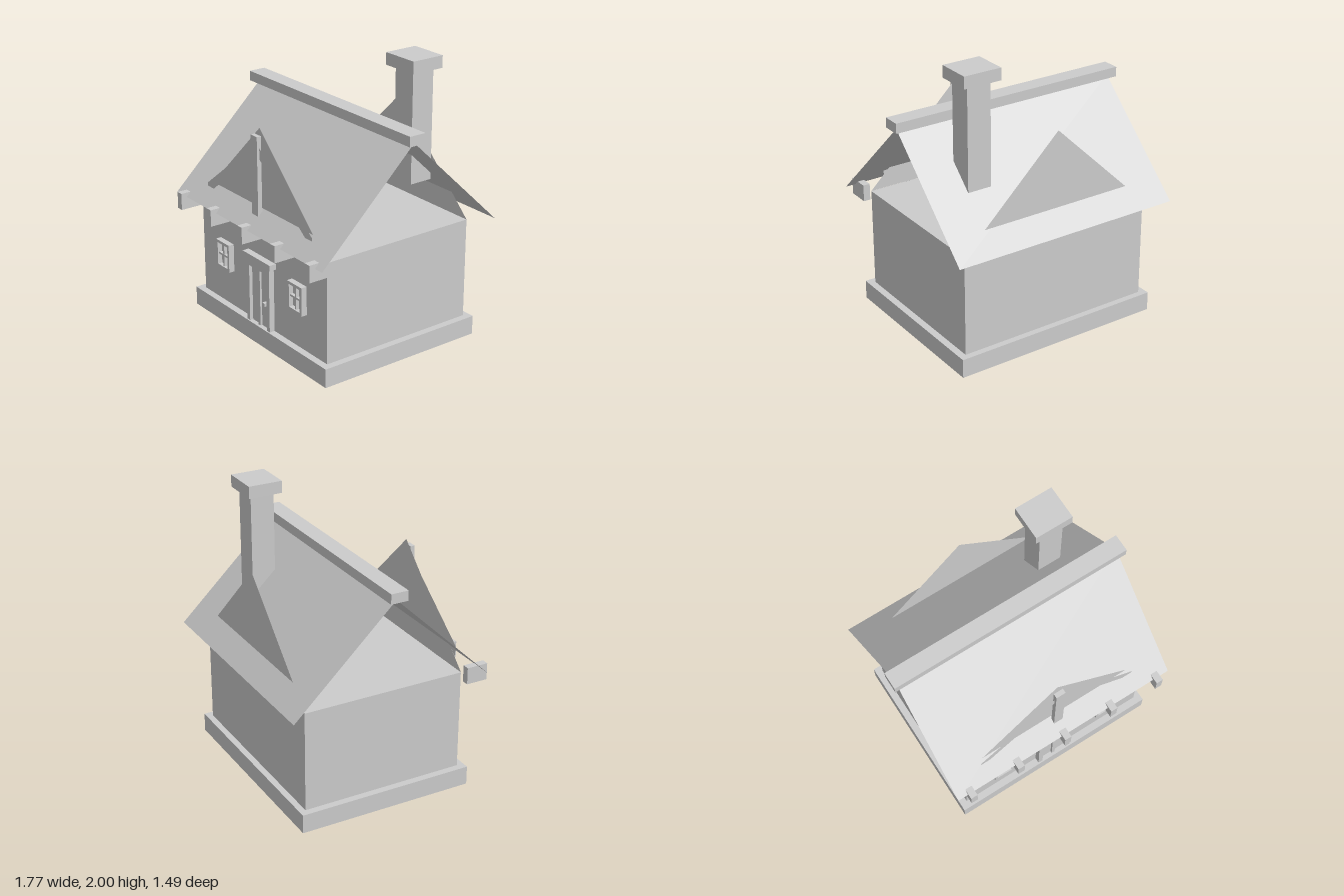
import * as THREE from 'three';

export function createModel() {
  const model = new THREE.Group();
  model.name = 'cottage';
  const grey = new THREE.MeshStandardMaterial({ color: 0xcccccc, side: THREE.DoubleSide });
  grey.name = 'stone grey';

  const add = (name, geometry, parent = model) => {
    const mesh = new THREE.Mesh(geometry, grey);
    mesh.name = name;
    parent.add(mesh);
    return mesh;
  };
  // Box given by its extents along each axis
  const box = (name, x0, x1, y0, y1, z0, z1, parent) =>
    add(name, new THREE.BoxGeometry(x1 - x0, y1 - y0, z1 - z0), parent)
      .position.set((x0 + x1) / 2, (y0 + y1) / 2, (z0 + z1) / 2);
  // Flat outline standing upright at depth z
  const plate = (name, points, z, parent) => {
    const shape = new THREE.Shape(points.map(([x, y]) => new THREE.Vector2(x, y)));
    add(name, new THREE.ShapeGeometry(shape), parent).position.z = z;
  };
  const group = (name) => {
    const g = new THREE.Group();
    g.name = name;
    model.add(g);
    return g;
  };

  // Base and walls
  box('plinth', -0.775, 0.775, 0, 0.135, -0.65, 0.62);
  box('walls', -0.725, 0.725, 0.135, 0.852, -0.605, 0.57);

  // Thin roof slopes, open at the sides
  const slope = (name, z, ridgeZ) => {
    const ridge = 1.56, eave = 0.868, w = 0.85;
    const front = z > ridgeZ ? 1 : -1;
    const g = new THREE.BufferGeometry();
    g.setAttribute('position', new THREE.Float32BufferAttribute([
      -w * front, eave, z, w * front, eave, z, w * front, ridge, ridgeZ, -w * front, ridge, ridgeZ], 3));
    g.setIndex([0, 1, 2, 0, 2, 3]);
    g.computeVertexNormals();
    add(name, g);
  };
  slope('frontRoof', 0.703, -0.02);
  slope('backRoof', -0.746, -0.02);
  box('ridgeBeam', -0.885, 0.885, 1.555, 1.625, -0.08, 0.045);

  // Gables breaking through the slopes
  plate('frontGable', [[-0.725, 0.852], [0.725, 0.852], [0, 1.55]], 0.571);
  plate('backGable', [[0.725, 0.852], [-0.725, 0.852], [0, 1.55]], -0.605);

  // Timber truss on the front gable
  const truss = group('truss');
  box('kingPost', -0.035, 0.035, 0.87, 1.505, 0.585, 0.618, truss);
  plate('tieBeam', [[-0.6, 0.853], [0.6, 0.853], [0.6, 0.91], [-0.6, 0.91]], 0.6, truss);
  for (const s of [-1, 1]) {
    const points = [[0.605, 0.91], [0.605, 0.99], [0, 1.452], [0, 1.375]].map(([x, y]) => [s * x, y]);
    plate('rafter', points, 0.6, truss);
  }

  // Eave brackets
  for (let i = -2; i <= 2; i++) {
    const x = i * 0.375;
    box('eaveBracket', x - 0.025, x + 0.025, 0.78, 0.9, 0.59, 0.745);
  }

  // Chimney
  box('chimney', 0.39, 0.565, 1.14, 1.915, -0.413, -0.242);
  box('chimneyCap', 0.335, 0.61, 1.915, 2, -0.45, -0.205);

  // Door
  const door = group('door');
  box('lintel', -0.16, 0.16, 0.6, 0.64, 0.57, 0.62, door);
  box('headRail', -0.135, 0.135, 0.55, 0.6, 0.57, 0.61, door);
  for (const s of [-1, 1]) {
    box('jamb', s * 0.1175 - 0.0175, s * 0.1175 + 0.0175, 0.135, 0.55, 0.57, 0.61, door);
  }
  box('doorLeaf', -0.1, 0.1, 0.135, 0.55, 0.57, 0.585, door);
  box('centreStile', -0.015, 0.011, 0.135, 0.55, 0.57, 0.6, door);
  box('handle', 0.073, 0.097, 0.315, 0.34, 0.585, 0.625, door);

  // Windows: frame, cross bars and panes
  for (const s of [-1, 1]) {
    const win = group(s > 0 ? 'leftWindow' : 'rightWindow');
    const x = s * 0.425, y = 0.503;
    for (const e of [-1, 1]) {
      box('frameSide', x + e * 0.07 - 0.01, x + e * 0.07 + 0.01, y - 0.102, y + 0.102, 0.57, 0.612, win);
      box('frameRail', x - 0.06, x + 0.06, y + e * 0.092 - 0.01, y + e * 0.092 + 0.01, 0.57, 0.612, win);
    }
    box('uprightBar', x - 0.007, x + 0.007, y - 0.082, y + 0.082, 0.57, 0.602, win);
    box('crossBar', x - 0.06, x + 0.06, y - 0.007, y + 0.007, 0.57, 0.602, win);
    box('pane', x - 0.06, x + 0.06, y - 0.082, y + 0.082, 0.57, 0.578, win);
  }

  return model;
}
